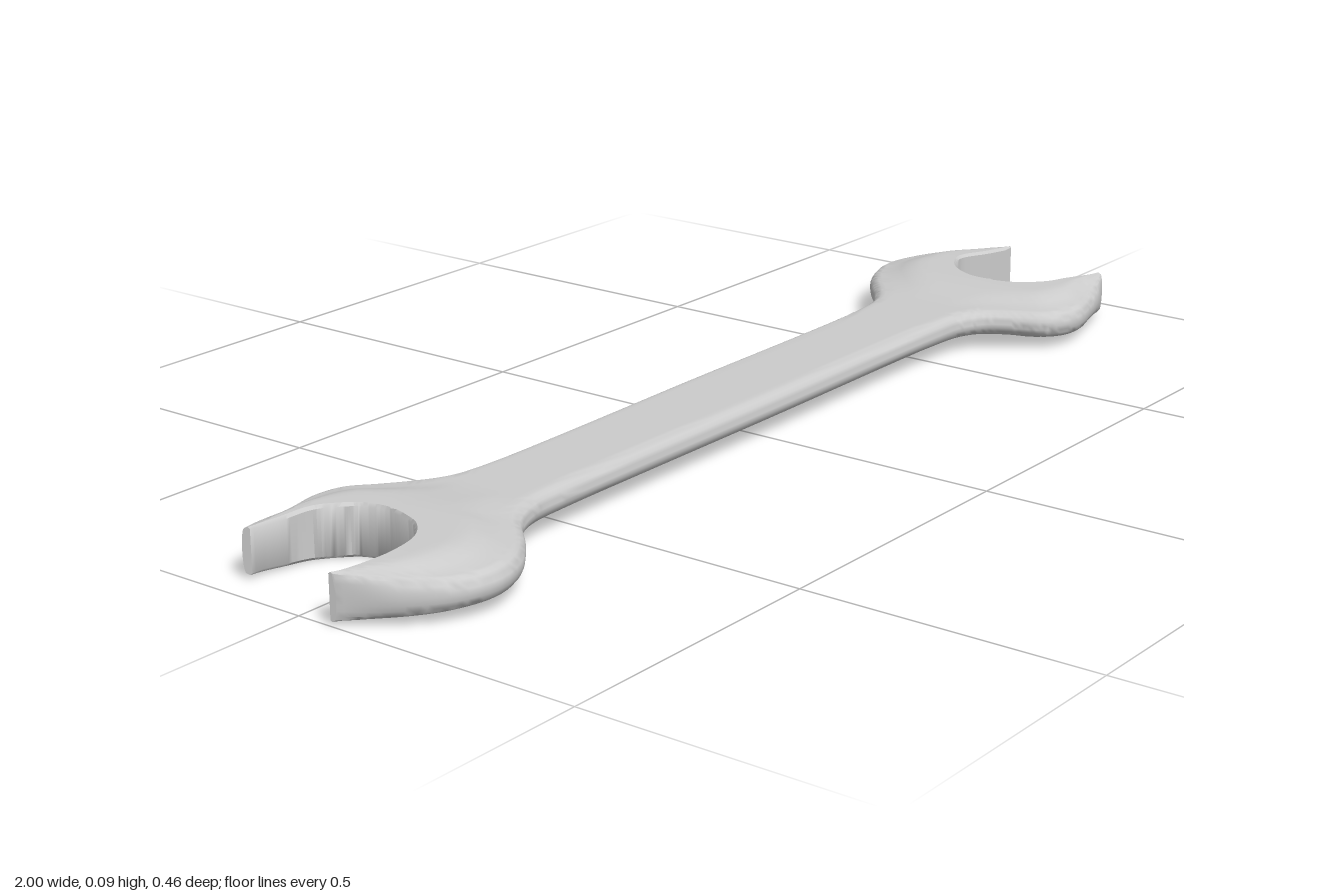
import * as THREE from 'three';
import { toCreasedNormals } from 'three/addons/utils/BufferGeometryUtils.js';

// Stations run from the right-hand tip (-x) to the left-hand tip (+x), as [x, z].
const JAW_A = 6, JAW_B = 12, LAST = 18, STEPS = 8;
const spine = [[-0.778, -0.03], [-0.66, -0.01], [-0.54, -0.003], [0, -0.003], [0.54, -0.004], [0.66, 0], [0.763, 0.027]];

const back = {
  outer: [[-0.949, -0.162], [-0.9, -0.182], [-0.83, -0.198], [-0.76, -0.209], [-0.71, -0.198], [-0.67, -0.16], [-0.63, -0.122],
    [-0.59, -0.097], [-0.52, -0.087], [0, -0.09], [0.5, -0.095], [0.57, -0.106],
    [0.62, -0.135], [0.67, -0.175], [0.73, -0.215], [0.8, -0.234], [0.88, -0.214], [0.95, -0.155], [0.998, -0.08]],
  jawA: [[-0.943, -0.15], [-0.89, -0.138], [-0.84, -0.127], [-0.805, -0.1], [-0.788, -0.08], [-0.78, -0.055], spine[0]],
  jawB: [spine[6], [0.765, -0.01], [0.785, -0.05], [0.815, -0.08], [0.865, -0.1], [0.93, -0.084], [0.995, -0.07]],
  flip: false,
};
const front = {
  outer: [[-0.995, 0.07], [-0.95, 0.145], [-0.89, 0.2], [-0.825, 0.219], [-0.76, 0.203], [-0.7, 0.16], [-0.65, 0.112],
    [-0.59, 0.089], [-0.52, 0.085], [0, 0.086], [0.5, 0.085], [0.57, 0.09],
    [0.61, 0.11], [0.645, 0.155], [0.68, 0.203], [0.75, 0.224], [0.83, 0.207], [0.89, 0.187], [0.938, 0.165]],
  jawA: [[-0.998, 0.06], [-0.945, 0.073], [-0.9, 0.08], [-0.84, 0.068], [-0.8, 0.035], [-0.785, 0], spine[0]],
  jawB: [spine[6], [0.77, 0.06], [0.79, 0.092], [0.82, 0.118], [0.855, 0.13], [0.89, 0.138], [0.937, 0.152]],
  flip: true,
};

const curve = (pts) => new THREE.CatmullRomCurve3(pts.map(([x, z]) => new THREE.Vector3(x, 0, z)));
const { lerp, smoothstep } = THREE.MathUtils;

// Cross-section from the rounded outer edge to the inner edge: [distance, half height]
function halfSection(w, head, tip, atJaw) {
  const e = Math.min(0.022, 0.35 * w);
  const b = atJaw ? Math.min(0.005, 0.2 * w) : 0;
  const edge = lerp(0.0225, lerp(0.025, 0.035, tip), head);
  const full = lerp(0.0225, lerp(0.043, 0.037, tip), head);
  const ramp = Math.min(0.07, 0.6 * (w - e));
  const height = (d) => lerp(edge, full, smoothstep(d, e, e + ramp));
  const pts = [];
  for (let j = 0; j <= 5; j++) {
    const a = (j / 5) * Math.PI / 2;
    pts.push([e * (1 - Math.cos(a)), edge * Math.sin(a)]);
  }
  for (let j = 1; j <= 8; j++) {
    const d = e + (w - b - e) * j / 8;
    pts.push([d, height(d)]);
  }
  pts.push([w, height(w) - b]);
  return pts;
}

// Loft one half of the wrench between its outer contour and the jaws and spine
function loftHalf({ outer, jawA, jawB, flip }, pos) {
  const outerCurve = curve(outer), a = curve(jawA), b = curve(jawB);
  const mid = spine.map(([x, z]) => new THREE.Vector3(x, 0, z));
  const inner = (s) => {
    if (s <= JAW_A) return a.getPoint(s / JAW_A);
    if (s >= JAW_B) return b.getPoint((s - JAW_B) / (LAST - JAW_B));
    const i = Math.floor(s - JAW_A);
    return mid[i].clone().lerp(mid[i + 1], s - JAW_A - i);
  };

  const rings = [];
  for (let i = 0; i <= LAST * STEPS; i++) {
    const s = i / STEPS;
    const O = outerCurve.getPoint(s / LAST), I = inner(s), w = O.distanceTo(I);
    const tip = 1 - smoothstep(Math.min(s, LAST - s), 0, 2.5);
    const section = halfSection(w, 1, tip, s < JAW_A || s > JAW_B);
    const shank = halfSection(w, 0, 0, s < JAW_A || s > JAW_B);
    const point = (j, sign) => {
      const p = O.clone().lerp(I, section[j][0] / w);
      const head = smoothstep(Math.abs(p.x), 0.6, 0.75);
      p.y = lerp(0.0515, 0.0445, head) + sign * lerp(shank[j][1], section[j][1], head);
      return p;
    };
    const ring = section.map((_, j) => point(j, 1));
    for (let j = section.length - 1; j > 0; j--) ring.push(point(j, -1));
    rings.push(ring);
  }

  const tri = (p, q, r, reverse) => (reverse ? [p, r, q] : [p, q, r]).forEach((v) => pos.push(v.x, v.y, v.z));
  const n = rings[0].length, wall = (n - 1) / 2;
  for (let i = 0; i < rings.length - 1; i++) {
    const s = i / STEPS, r0 = rings[i], r1 = rings[i + 1];
    for (let j = 0; j < n; j++) {
      // the two halves meet along the spine, so no wall there
      if (j === wall && s >= JAW_A && s < JAW_B) continue;
      const k = (j + 1) % n;
      tri(r0[j], r0[k], r1[j], flip);
      tri(r1[j], r0[k], r1[k], flip);
    }
  }
  // tip caps
  const first = rings[0], last = rings[rings.length - 1];
  for (let j = 1; j < n - 1; j++) {
    tri(first[0], first[j], first[j + 1], !flip);
    tri(last[0], last[j], last[j + 1], flip);
  }
}

export function createModel() {
  const group = new THREE.Group();
  group.name = 'doubleOpenEndWrench';

  const pos = [];
  [back, front].forEach((half) => loftHalf(half, pos));
  const geometry = new THREE.BufferGeometry();
  geometry.setAttribute('position', new THREE.Float32BufferAttribute(pos, 3));

  const body = new THREE.Mesh(toCreasedNormals(geometry, 0.75), new THREE.MeshStandardMaterial({ color: 0xcccccc }));
  body.name = 'wrenchBody';
  group.add(body);
  return group;
}
